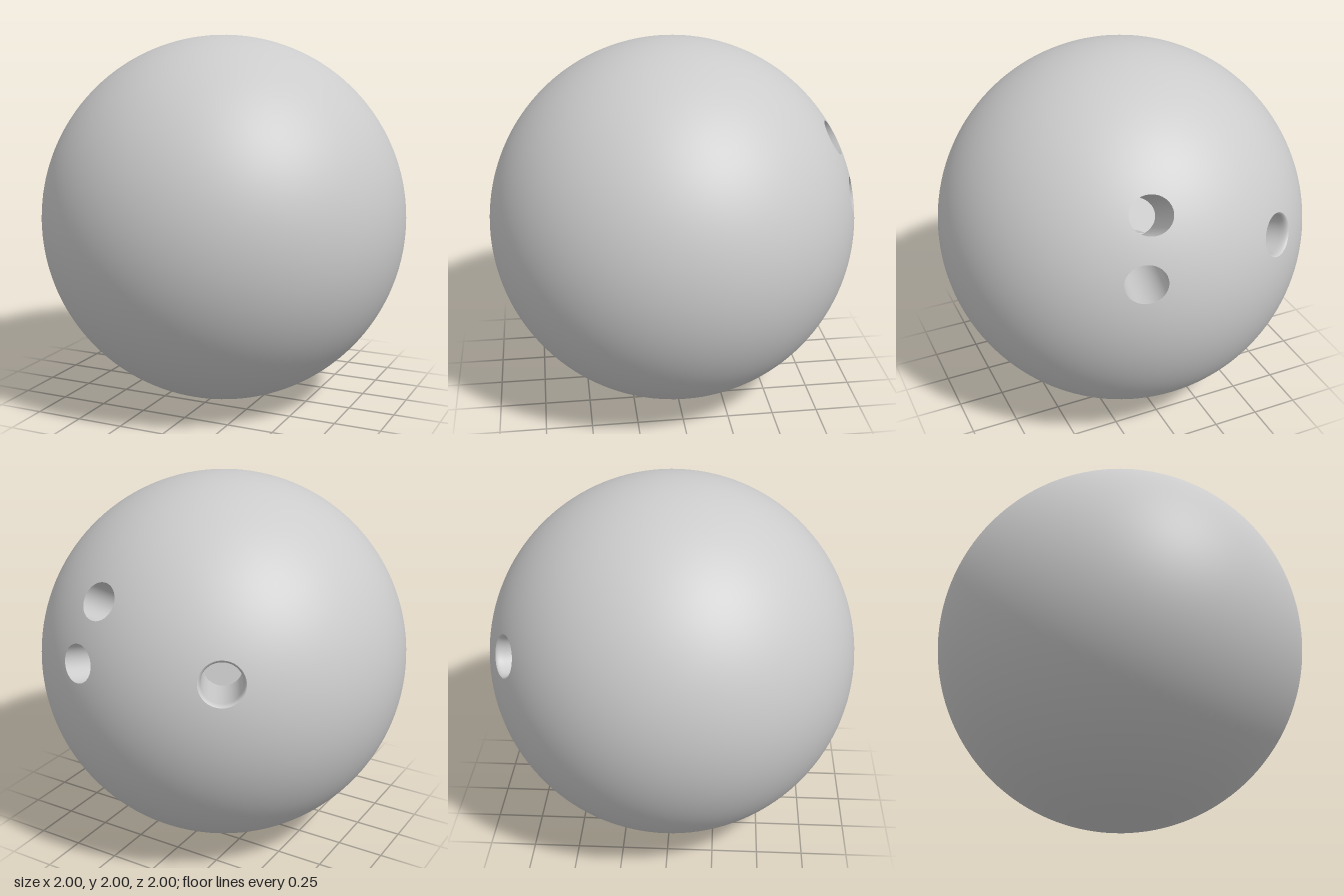
import * as THREE from 'three';
import { ConvexGeometry } from 'three/addons/geometries/ConvexGeometry.js';

const SEG = 64;          // points around each hole
const BALL_POINTS = 6000;
const DEPTH = 0.5;       // depth of the bores

// Each hole: centre direction, half width, half height, and wall profile [scale, drop]
const SHARP = [[1, 0], [1, 0.02]];
const ROUNDED = [[1, 0], [0.96, 0.004], [0.92, 0.012], [0.895, 0.025], [0.885, 0.045]];
const HOLES = [
  { name: 'thumbHole', dir: [-0.49, 0.23, -0.84], a: 0.116, b: 0.113, profile: ROUNDED },
  { name: 'upperFingerHole', dir: [0.214, 0.508, -0.832], a: 0.107, b: 0.098, profile: SHARP },
  { name: 'lowerFingerHole', dir: [0.283, 0.203, -0.935], a: 0.107, b: 0.098, profile: SHARP },
].map((h) => {
  const axis = new THREE.Vector3(...h.dir).normalize();
  const across = new THREE.Vector3(0, 1, 0).cross(axis).normalize();
  const up = axis.clone().cross(across);
  return { ...h, axis, across, up };
});

// Point of a hole's ring, on the ball surface lowered by drop, or at a fixed height
function ringPoint(h, j, scale, drop, height) {
  const t = (j / SEG) * Math.PI * 2;
  const x = h.a * scale * Math.cos(t);
  const y = h.b * scale * Math.sin(t);
  const z = height ?? Math.sqrt(1 - x * x - y * y) - drop;
  return new THREE.Vector3()
    .addScaledVector(h.across, x).addScaledVector(h.up, y).addScaledVector(h.axis, z);
}

// True when a point lies within a hole's mouth, enlarged by a factor
function insideHole(p, h, factor) {
  if (p.dot(h.axis) < 0) return false;
  return Math.hypot(p.dot(h.across) / h.a, p.dot(h.up) / h.b) < factor;
}

// Sphere skin: hull of evenly spread points and hole rims, with the mouths left open
function ballGeometry() {
  const points = [];
  const golden = Math.PI * (3 - Math.sqrt(5));
  for (let i = 0; i < BALL_POINTS; i++) {
    const y = 1 - (2 * i + 1) / BALL_POINTS;
    const r = Math.sqrt(1 - y * y);
    const p = new THREE.Vector3(r * Math.cos(i * golden), y, r * Math.sin(i * golden));
    if (!HOLES.some((h) => insideHole(p, h, 1.15))) points.push(p);
  }
  for (const h of HOLES) {
    for (let j = 0; j < SEG; j++) points.push(ringPoint(h, j, 1, 0));
  }
  const hull = new ConvexGeometry(points).getAttribute('position');
  const kept = [];
  const corners = [0, 1, 2].map(() => new THREE.Vector3());
  const centre = new THREE.Vector3();
  for (let i = 0; i < hull.count; i += 3) {
    corners.forEach((c, k) => c.fromBufferAttribute(hull, i + k));
    centre.copy(corners[0]).add(corners[1]).add(corners[2]).divideScalar(3);
    if (HOLES.some((h) => insideHole(centre, h, 1))) continue;
    corners.forEach((c) => kept.push(c.x, c.y, c.z));
  }
  const geo = new THREE.BufferGeometry();
  geo.setAttribute('position', new THREE.Float32BufferAttribute(kept, 3));
  // On a unit sphere the normal equals the position
  geo.setAttribute('normal', new THREE.Float32BufferAttribute(kept, 3));
  return geo;
}

// Bore wall: rings from the mouth down to the floor
function wallGeometry(h) {
  const rings = [...h.profile, [h.profile.at(-1)[0], 0, 1 - DEPTH]];
  const pos = [];
  const index = [];
  rings.forEach(([scale, drop, height], i) => {
    for (let j = 0; j < SEG; j++) {
      pos.push(...ringPoint(h, j, scale, drop, height).toArray());
      if (i === rings.length - 1) continue;
      const a = i * SEG + j;
      const b = i * SEG + (j + 1) % SEG;
      index.push(a, b, a + SEG, b, b + SEG, a + SEG);
    }
  });
  const geo = new THREE.BufferGeometry();
  geo.setAttribute('position', new THREE.Float32BufferAttribute(pos, 3));
  geo.setIndex(index);
  geo.computeVertexNormals();
  return geo;
}

// Flat floor of a bore
function floorGeometry(h) {
  const scale = h.profile.at(-1)[0];
  return new THREE.CircleGeometry(1, SEG)
    .scale(h.a * scale, h.b * scale, 1)
    .translate(0, 0, 1 - DEPTH)
    .applyMatrix4(new THREE.Matrix4().makeBasis(h.across, h.up, h.axis));
}

export function createModel() {
  const model = new THREE.Group();
  model.name = 'bowlingBall';
  const material = new THREE.MeshStandardMaterial({ color: 0xcccccc });
  const add = (parent, name, geometry) => {
    const mesh = new THREE.Mesh(geometry, material);
    mesh.name = name;
    parent.add(mesh);
  };

  // Ball centred one radius above the ground
  const ball = new THREE.Group();
  ball.name = 'ball';
  ball.position.y = 1;
  model.add(ball);
  add(ball, 'ballSurface', ballGeometry());

  // Three grip holes
  for (const h of HOLES) {
    const hole = new THREE.Group();
    hole.name = h.name;
    add(hole, 'holeWall', wallGeometry(h));
    add(hole, 'holeFloor', floorGeometry(h));
    ball.add(hole);
  }
  return model;
}
